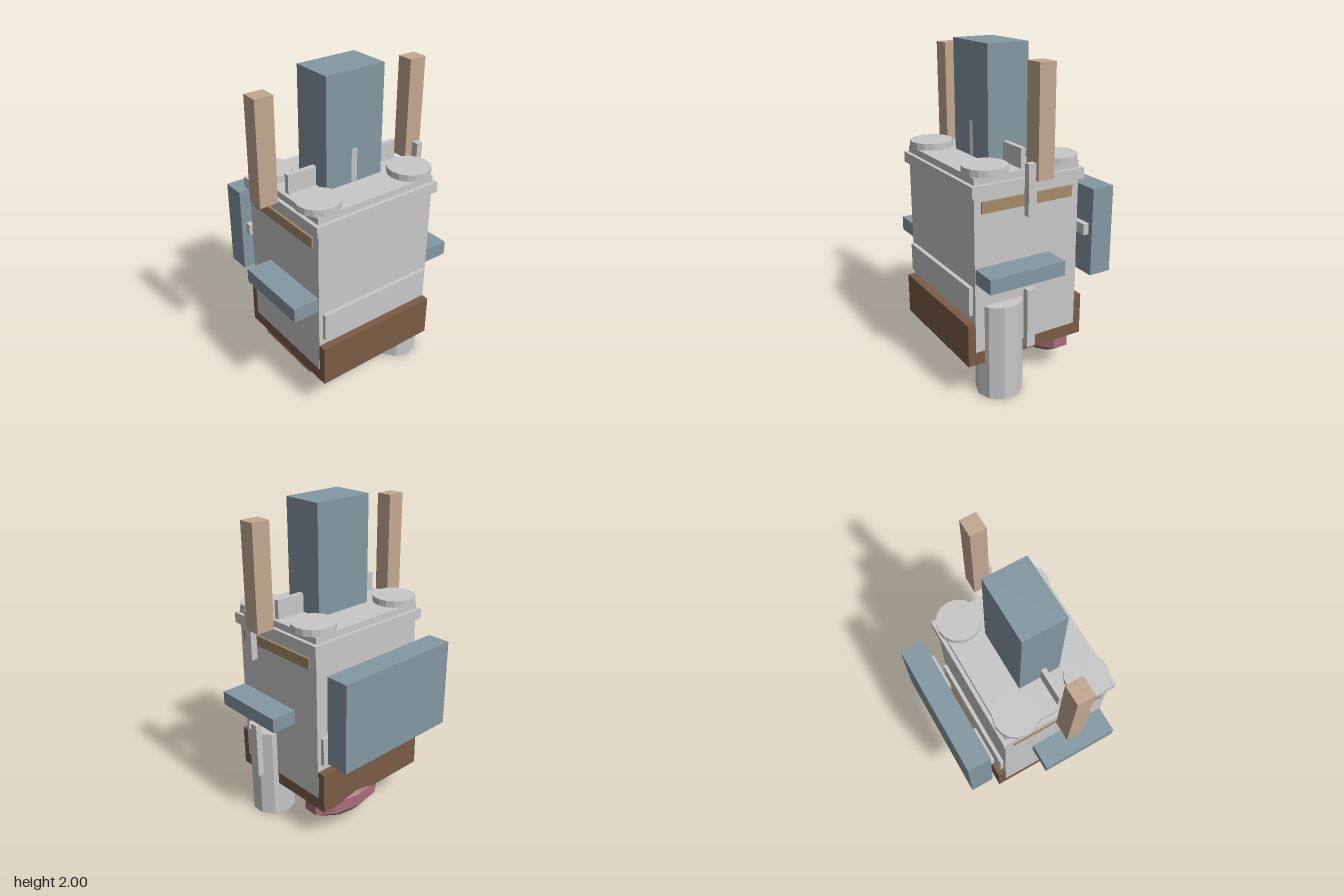
import * as THREE from 'three';

const mat = (name, color) => {
  const m = new THREE.MeshStandardMaterial({ color });
  m.name = name;
  m.flatShading = true;
  return m;
};

export function createModel() {
  const grey = mat('light grey', 0xc8c8c8);
  const blue = mat('slate blue', 0x8498a2);
  const brown = mat('dark brown', 0x7a5c46);
  const tan = mat('tan', 0xa48b6a);
  const skin = mat('pale copper', 0xc3a891);
  const pink = mat('dusty pink', 0xa8707c);

  const model = new THREE.Group();
  model.name = 'boxMachine';

  const add = (name, geometry, material, x = 0, y = 0, z = 0) => {
    const mesh = new THREE.Mesh(geometry, material);
    mesh.name = name;
    mesh.position.set(x, y, z);
    model.add(mesh);
    return mesh;
  };
  // Box given by its minimum and maximum on each axis
  const box = (name, material, [x0, x1], [y0, y1], [z0, z1]) =>
    add(name, new THREE.BoxGeometry(x1 - x0, y1 - y0, z1 - z0), material,
      (x0 + x1) / 2, (y0 + y1) / 2, (z0 + z1) / 2);

  // Main body, lid rim and base
  box('body', grey, [-0.407, 0.407], [0.31, 1.345], [-0.24, 0.443]);
  box('lidRim', grey, [-0.43, 0.43], [1.24, 1.305], [-0.263, 0.466]);
  box('base', brown, [-0.405, 0.405], [0.23, 0.49], [-0.29, 0.49]);
  box('frontPanel', grey, [-0.38, 0.38], [0.535, 0.71], [0.44, 0.468]);
  box('backPanel', grey, [-0.38, 0.38], [0.535, 0.71], [-0.263, -0.235]);

  // Tower with its small post and the cross rail
  box('tower', blue, [-0.195, 0.195], [1.34, 2], [-0.03, 0.23]);
  add('towerPost', new THREE.CylinderGeometry(0.035, 0.035, 0.21, 8), grey, 0, 1.445, 0.203);
  box('crossRail', grey, [-0.383, 0.383], [1.34, 1.46], [0.105, 0.135]);

  // Mirrored parts
  for (const s of [-1, 1]) {
    const side = s > 0 ? 'left' : 'right';
    const span = (a, b) => (s > 0 ? [a, b] : [-b, -a]);
    box(side + 'Arm', skin, span(0.462, 0.575), [1.325, 1.94], [0.05, 0.15]);
    box(side + 'Wing', blue, span(0.25, 0.57), [0.74, 0.828], [-0.045, 0.44]);
    box(side + 'Trim', tan, span(0.39, 0.42), [1.143, 1.208], [-0.19, 0.4]);
    box(side + 'PackMount', grey, span(0.16, 0.39), [0.865, 0.935], [-0.347, -0.308]);
    for (const z of [-0.13, 0.328]) {
      add(side + 'TopDisc', new THREE.CylinderGeometry(0.13, 0.13, 0.04, 16), grey,
        s * 0.326, 1.367, z);
    }
  }

  // Back pack
  box('backPack', blue, [-0.422, 0.422], [0.608, 1.157], [-0.492, -0.345]);

  // Side rods and the standing pipe
  box('upperRod', grey, [0.515, 0.555], [1.13, 1.42], [0.143, 0.195]);
  box('lowerRod', grey, [0.515, 0.555], [0.345, 0.70], [0.143, 0.195]);
  add('pipe', new THREE.CylinderGeometry(0.14, 0.14, 0.59, 10), grey, 0.355, 0.295, 0.262);
  box('pipeBracket', grey, [0.08, 0.23], [0.062, 0.136], [0.07, 0.2]);

  // Underside plate and faceted dome
  box('undersidePlate', tan, [-0.39, 0], [0.186, 0.24], [-0.16, 0.325]);
  const dome = new THREE.SphereGeometry(1, 10, 5);
  dome.rotateY(Math.PI / 2);
  dome.scale(0.295, 0.13, 0.163);
  add('dome', dome, pink, 0.13, 0.2, -0.155);

  return model;
}
